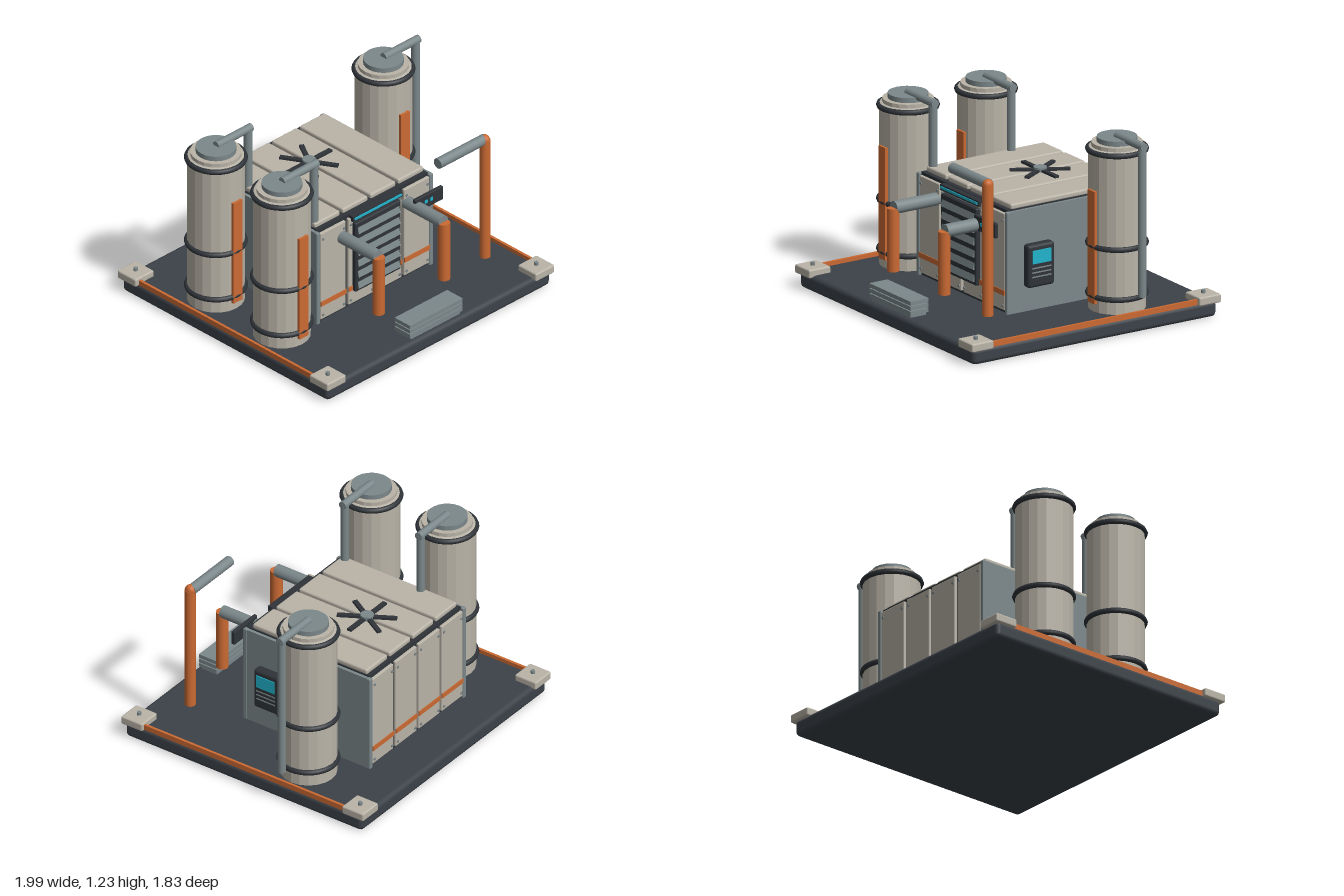
import * as THREE from 'three';
import { RoundedBoxGeometry } from 'three/addons/geometries/RoundedBoxGeometry.js';

const mat = (name, color, flatShading = false) => {
  const m = new THREE.MeshStandardMaterial({ color, flatShading });
  m.name = name;
  return m;
};

export function createModel() {
  const M = {
    cream: mat('cream panel', 0xbab4a8, true),
    steel: mat('grey steel', 0x7c888b),
    dark: mat('dark rubber', 0x2f3439),
    deck: mat('deck grey', 0x3c4249),
    orange: mat('orange paint', 0xcb6a33),
    cyan: mat('cyan light', 0x22b3cb),
  };
  const model = new THREE.Group();
  model.name = 'processingStation';

  const add = (parent, name, geo, material, x, y, z) => {
    const m = new THREE.Mesh(geo, material);
    m.name = name;
    m.position.set(x, y, z);
    parent.add(m);
    return m;
  };
  // Box given by its extents on each axis; bevel > 0 rounds the edges
  const box = (parent, name, material, [x0, x1], [y0, y1], [z0, z1], bevel = 0) => {
    const s = [x1 - x0, y1 - y0, z1 - z0];
    const g = bevel ? new RoundedBoxGeometry(...s, 2, bevel) : new THREE.BoxGeometry(...s);
    return add(parent, name, g, material, (x0 + x1) / 2, (y0 + y1) / 2, (z0 + z1) / 2);
  };
  // Straight pipe between two points
  const pipe = (parent, name, material, a, b, r, sides = 14) => {
    const p = new THREE.Vector3(...a), q = new THREE.Vector3(...b);
    const d = q.clone().sub(p);
    const m = add(parent, name, new THREE.CylinderGeometry(r, r, d.length(), sides), material,
      ...p.clone().add(q).multiplyScalar(0.5).toArray());
    m.quaternion.setFromUnitVectors(new THREE.Vector3(0, 1, 0), d.normalize());
    return m;
  };
  const group = (name, x = 0, y = 0, z = 0) => {
    const g = new THREE.Group();
    g.name = name;
    g.position.set(x, y, z);
    model.add(g);
    return g;
  };

  // Base slab with corner plates, bolts and side rails
  const base = group('base');
  box(base, 'deck', M.deck, [-0.98, 0.93], [0, 0.105], [-0.9, 0.89], 0.03);
  for (const x of [-0.92, 0.865]) {
    for (const z of [-0.84, 0.83]) {
      box(base, 'cornerPlate', M.cream, [x - 0.08, x + 0.08], [0.09, 0.145], [z - 0.08, z + 0.08], 0.01);
      pipe(base, 'cornerBolt', M.steel, [x, 0.14, z], [x, 0.165, z], 0.014, 10);
    }
  }
  for (const x of [-0.963, 0.913]) {
    box(base, 'sideRail', M.orange, [x - 0.009, x + 0.009], [0.095, 0.13], [-0.77, 0.76]);
  }

  // Entry step of three stacked treads
  const step = group('step');
  for (let i = 0; i < 3; i++) {
    const y = 0.125 + i * 0.032;
    box(step, 'tread', M.steel, [-0.25, 0.2], [y, y + 0.025], [0.73, 0.865]);
    box(step, 'treadSpacer', M.steel, [-0.235, 0.185], [y - 0.022, y], [0.74, 0.855]);
  }

  // Storage tanks with bands, cap, level strip and down pipe
  for (const [x, z] of [[-0.742, -0.323], [-0.742, 0.25], [0.692, -0.323]]) {
    const tank = group('tank', x, 0, z);
    const profile = [[0, 0.1], [0.178, 0.1], [0.178, 1.135], [0.158, 1.14], [0.158, 1.165], [0, 1.165]];
    add(tank, 'tankBody', new THREE.LatheGeometry(profile.map(p => new THREE.Vector2(...p)), 20), M.cream, 0, 0, 0);
    pipe(tank, 'tankCap', M.steel, [0, 1.16, 0], [0, 1.197, 0], 0.125, 24);
    for (const y of [0.2, 0.52, 1.12]) {
      const band = add(tank, 'tankBand', new THREE.TorusGeometry(0.178, 0.018, 8, 32), M.dark, 0, y, 0);
      band.rotation.x = Math.PI / 2;
    }
    box(tank, 'levelStrip', M.orange, [-0.037, 0.037], [0.16, 0.88], [0.165, 0.192]);
    pipe(tank, 'outletPipe', M.steel, [0, 1.2, 0], [0.3, 1.2, 0], 0.026);
    pipe(tank, 'downPipe', M.steel, [0.275, 1.2, 0], [0.275, 0.24, 0], 0.027);
  }

  // House: dark core, steel sides, corner posts
  const house = group('house');
  box(house, 'core', M.dark, [-0.5, 0.445], [0.1, 0.765], [-0.605, 0.315]);
  for (const x of [-0.51, 0.455]) {
    box(house, 'sidePanel', M.steel, [x - 0.012, x + 0.012], [0.1, 0.757], [-0.61, 0.32]);
    for (const z of [-0.61, 0.32]) {
      box(house, 'cornerPost', M.steel, [x - 0.015, x + 0.015], [0.1, 0.76], [z - 0.016, z + 0.016], 0.008);
    }
  }

  // Four panel bays on the front, the back and the roof
  for (let i = 0; i < 4; i++) {
    const c = -0.384 + i * 0.2385, xs = [c - 0.108, c + 0.108];
    box(house, 'roofPanel', M.cream, xs, [0.76, 0.797], [-0.58, 0.285], 0.012);
    for (const s of [-1, 1]) {
      const face = s > 0 ? 0.334 : -0.624;
      const span = (a, b) => [face + s * a, face + s * b].sort((p, q) => p - q);
      box(house, 'wallPanel', M.cream, xs, [0.125, 0.745], span(-0.025, 0), 0.006);
      box(house, 'wallStripe', M.orange, xs, [0.222, 0.255], span(-0.002, 0.005));
      for (const dx of [-0.09, 0.09]) {
        for (const y of [0.155, 0.7]) {
          pipe(house, 'panelBolt', M.steel, [c + dx, y, face - s * 0.004], [c + dx, y, face + s * 0.006], 0.009, 8);
        }
      }
    }
  }

  // Front louvre with light bar
  const louvre = group('louvre');
  box(louvre, 'louvreFrame', M.dark, [-0.22, 0.17], [0.215, 0.71], [0.325, 0.362], 0.01);
  for (let i = 0; i < 6; i++) {
    const slat = box(louvre, 'slat', M.steel, [-0.202, 0.152], [-0.022, 0.022], [-0.006, 0.006]);
    slat.position.set(-0.025, 0.26 + i * 0.0785, 0.362);
    slat.rotation.x = -0.25;
  }
  box(louvre, 'lightHousing', M.dark, [-0.235, 0.185], [0.725, 0.762], [0.31, 0.355]);
  box(louvre, 'lightBar', M.cyan, [-0.225, 0.175], [0.737, 0.752], [0.352, 0.361]);

  // Front status panel with two lamps
  const status = group('statusPanel');
  box(status, 'statusPlate', M.dark, [0.232, 0.47], [0.61, 0.705], [0.398, 0.423], 0.006);
  for (const x of [0.322, 0.367]) {
    box(status, 'statusLamp', M.cyan, [x - 0.012, x + 0.012], [0.648, 0.67], [0.42, 0.427]);
  }

  // Side terminal with screen and key rows
  const terminal = group('terminal');
  box(terminal, 'terminalCase', M.dark, [0.46, 0.527], [0.265, 0.54], [0.02, 0.215], 0.02);
  box(terminal, 'screen', M.cyan, [0.525, 0.533], [0.42, 0.505], [0.053, 0.188]);
  for (const y of [0.335, 0.363, 0.391]) {
    box(terminal, 'keyRow', M.steel, [0.524, 0.53], [y - 0.004, y + 0.004], [0.05, 0.19]);
  }

  // Roof fan
  const fan = group('fan', -0.027, 0, -0.24);
  for (let i = 0; i < 6; i++) {
    const arm = new THREE.Group();
    arm.name = 'fanArm';
    arm.rotation.y = i * Math.PI / 3;
    fan.add(arm);
    box(arm, 'fanBlade', M.dark, [0.03, 0.185], [0.798, 0.813], [-0.015, 0.015]);
  }
  pipe(fan, 'fanHub', M.steel, [0, 0.79, 0], [0, 0.824, 0], 0.042, 16);

  // Front pipes: steel run out of the wall, orange drop
  for (const x of [-0.308, 0.252]) {
    const run = group('frontPipe');
    pipe(run, 'wallPipe', M.steel, [x, 0.643, 0.31], [x, 0.643, 0.645], 0.041);
    pipe(run, 'dropPipe', M.orange, [x, 0.642, 0.65], [x, 0.24, 0.65], 0.039);
  }
  // Tall riser with a steel arm
  const riser = group('riser');
  pipe(riser, 'riserPipe', M.orange, [0.652, 0.2, 0.6], [0.652, 1.038, 0.6], 0.035);
  pipe(riser, 'riserArm', M.steel, [0.255, 1.038, 0.592], [0.652, 1.038, 0.592], 0.034);
  const elbow = add(riser, 'riserElbow', new THREE.SphereGeometry(0.035, 14, 10), M.orange, 0.652, 1.038, 0.598);
  elbow.scale.x = 0.9;

  return model;
}
